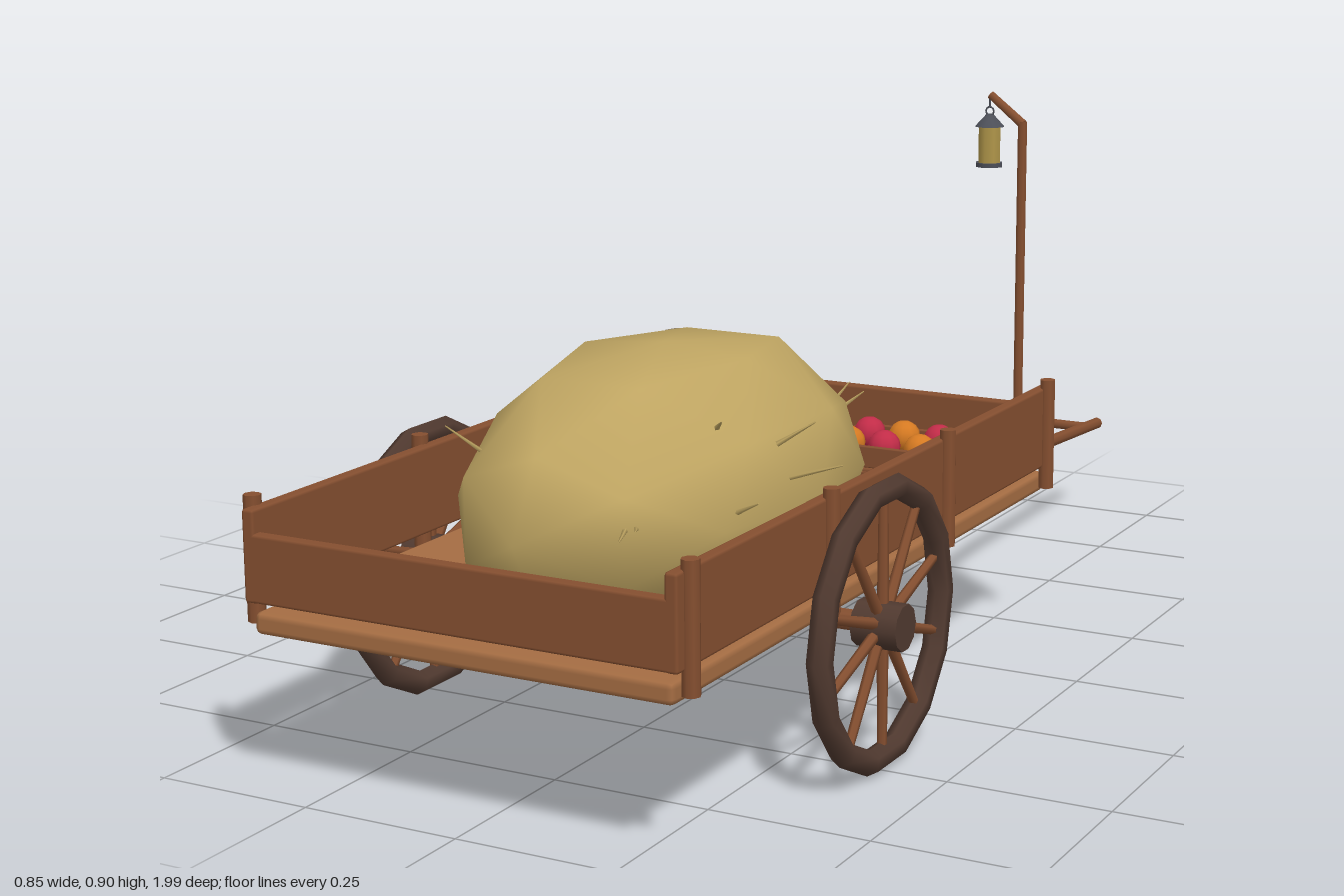
import * as THREE from 'three';
import { RoundedBoxGeometry } from 'three/addons/geometries/RoundedBoxGeometry.js';

const mat = (name, color) => {
  const m = new THREE.MeshStandardMaterial({ color });
  m.name = name;
  return m;
};

export function createModel() {
  const root = new THREE.Group();
  root.name = 'handcart';
  const plank = mat('light wood', 0xa56d43);
  const board = mat('brown wood', 0x854f30);
  const dark = mat('dark wood', 0x513a30);
  const straw = mat('hay', 0xbfa562);
  const cloth = mat('sackcloth', 0xbfac8a);
  const red = mat('red fruit', 0xc22c48);
  const orange = mat('orange fruit', 0xd67a22);
  const iron = mat('iron', 0x4c4f58);
  const glass = mat('lantern glass', 0xb0964a);
  cloth.side = THREE.DoubleSide;

  const add = (name, geo, material, pos = [0, 0, 0], parent = root) => {
    const mesh = new THREE.Mesh(geo, material);
    mesh.name = name;
    mesh.position.set(...pos);
    parent.add(mesh);
    return mesh;
  };
  // Tapered round bar between two points
  const rod = (name, a, b, r0, r1, material, parent = root, sides = 8) => {
    const p = new THREE.Vector3(...a), q = new THREE.Vector3(...b);
    const d = q.clone().sub(p);
    const mesh = add(name, new THREE.CylinderGeometry(r1, r0, d.length(), sides), material,
      p.clone().add(q).multiplyScalar(0.5).toArray(), parent);
    mesh.quaternion.setFromUnitVectors(new THREE.Vector3(0, 1, 0), d.normalize());
    return mesh;
  };
  const beam = (name, w, h, d, pos, material, parent = root, bevel = 0.005) =>
    add(name, new RoundedBoxGeometry(w, h, d, 1, bevel), material, pos, parent);

  // Bed with low walls and corner posts
  beam('floor', 0.67, 0.034, 1.245, [0, 0.26, 0.3675], plank, root, 0.01);
  beam('frontBoard', 0.67, 0.1, 0.02, [0, 0.34, 0.985], board);
  beam('backBoard', 0.67, 0.1, 0.02, [0, 0.34, -0.25], board);
  for (const s of [-1, 1]) {
    beam('sideBoard', 0.02, 0.135, 1.25, [s * 0.335, 0.357, 0.37], board);
    for (const z of [-0.23, 0.17, 0.565, 0.965])
      rod('post', [s * 0.348, 0.255, z], [s * 0.348, 0.438, z], 0.013, 0.013, board);
  }

  // Axle and spoked wheels
  const cy = 0.222, cz = 0.485;
  rod('axle', [-0.4, cy, cz], [0.4, cy, cz], 0.016, 0.016, board);
  for (const s of [-1, 1]) {
    const wheel = new THREE.Group();
    wheel.name = 'wheel';
    wheel.position.set(s * 0.39, cy, cz);
    root.add(wheel);
    add('rim', new THREE.TorusGeometry(0.2, 0.019, 6, 14), dark, [0, 0, 0], wheel).rotation.y = Math.PI / 2;
    rod('hub', [-0.036, 0, 0], [0.036, 0, 0], 0.035, 0.035, dark, wheel, 10);
    for (let i = 0; i < 10; i++) {
      const a = (i / 10) * Math.PI * 2;
      rod('spoke', [0, 0, 0], [0, Math.cos(a) * 0.195, Math.sin(a) * 0.195], 0.009, 0.007, board, wheel, 6);
    }
  }

  // Bent pulling shafts and grip
  for (const s of [-1, 1]) {
    const bends = [[s * 0.208, 0.245, -0.1], [s * 0.178, 0.229, -0.52], [s * 0.146, 0.184, -0.99]];
    rod('shaft', bends[0], bends[1], 0.012, 0.012, board);
    rod('shaft', bends[1], bends[2], 0.012, 0.011, board);
  }
  rod('grip', [-0.15, 0.191, -0.92], [0.15, 0.191, -0.92], 0.009, 0.009, board);

  // Hay mound with loose straws
  const hay = new THREE.IcosahedronGeometry(1, 1);
  const hp = hay.attributes.position;
  for (let i = 0; i < hp.count; i++) {
    const y = hp.getY(i);
    if (y > 0.8 && y < 0.95) hp.setY(i, y * 1.1);
  }
  hay.scale(0.255, 0.205, 0.407);
  hay.computeVertexNormals();
  // Smooth the mound's normals like an ellipsoid
  const hn = hay.attributes.normal, n = new THREE.Vector3();
  for (let i = 0; i < hp.count; i++) {
    n.set(hp.getX(i) / 0.065, hp.getY(i) / 0.042, hp.getZ(i) / 0.166).normalize();
    hn.setXYZ(i, n.x, n.y, n.z);
  }
  add('hayMound', hay, straw, [0.065, 0.41, 0.538]);
  const straws = [
    [[0.06, 0.42, 0.15], [0.055, 0.45, 0.08]], [[0.16, 0.46, 0.2], [0.17, 0.49, 0.15]],
    [[0.18, 0.46, 0.2], [0.2, 0.48, 0.16]], [[0.28, 0.5, 0.6], [0.33, 0.533, 0.58]],
    [[0.3, 0.455, 0.6], [0.375, 0.477, 0.585]], [[0.28, 0.43, 0.72], [0.32, 0.45, 0.73]],
    [[-0.07, 0.49, 0.8], [-0.095, 0.54, 0.86]], [[0.2, 0.43, 0.85], [0.235, 0.445, 0.91]],
    [[0.19, 0.43, 0.86], [0.215, 0.43, 0.92]], [[0.24, 0.54, 0.7], [0.27, 0.56, 0.74]],
  ];
  for (const [a, b] of straws) rod('looseStraw', a, b, 0.004, 0.001, straw, root, 4);

  // Tied sacks
  const profile = [[0, 0], [0.08, 0], [0.097, 0.05], [0.1, 0.1], [0.085, 0.16], [0.05, 0.2],
    [0.022, 0.218], [0.031, 0.245], [0, 0.248]].map(([r, y]) => new THREE.Vector2(r, y));
  for (const [x, z, k] of [[-0.183, 0.055, 1], [-0.165, 0.245, 0.95]]) {
    const sack = new THREE.Group();
    sack.name = 'sack';
    sack.position.set(x, 0.276, z);
    sack.scale.setScalar(k);
    root.add(sack);
    add('sackBody', new THREE.LatheGeometry(profile, 8), cloth, [0, 0, 0], sack);
    add('sackTie', new THREE.TorusGeometry(0.023, 0.005, 5, 10), board, [0, 0.218, 0], sack).rotation.x = Math.PI / 2;
  }

  // Crate of fruit
  const crate = new THREE.Group();
  crate.name = 'crate';
  crate.position.set(0.157, 0.277, -0.043);
  root.add(crate);
  beam('crateBase', 0.19, 0.045, 0.15, [0, 0.023, 0], board, crate);
  for (const s of [-1, 1]) {
    for (const y of [0.022, 0.064]) {
      beam('crateSlat', 0.195, 0.035, 0.01, [0, y, s * 0.072], board, crate, 0.002);
      beam('crateSlat', 0.01, 0.035, 0.15, [s * 0.093, y, 0], board, crate, 0.002);
    }
  }
  for (let i = 0; i < 6; i++) {
    const col = i % 3, row = Math.floor(i / 3);
    add('fruit', new THREE.SphereGeometry(0.027, 10, 8), (col + row) % 2 ? orange : red,
      [(col - 1) * 0.063, 0.075, (row - 0.5) * 0.076], crate);
  }

  // Lamp post with hanging lantern
  rod('lampPost', [0.295, 0.25, -0.23], [0.295, 0.862, -0.23], 0.008, 0.008, board);
  rod('lampArm', [0.295, 0.858, -0.23], [0.238, 0.903, -0.23], 0.008, 0.007, board);
  const lantern = new THREE.Group();
  lantern.name = 'lantern';
  lantern.position.set(0.237, 0.785, -0.23);
  root.add(lantern);
  add('lanternBase', new THREE.CylinderGeometry(0.023, 0.023, 0.007, 8), iron, [0, 0.0035, 0], lantern);
  add('lanternGlass', new THREE.CylinderGeometry(0.019, 0.019, 0.06, 8), glass, [0, 0.037, 0], lantern);
  add('lanternRoof', new THREE.CylinderGeometry(0.006, 0.025, 0.02, 8), iron, [0, 0.076, 0], lantern);
  add('lanternRing', new THREE.TorusGeometry(0.007, 0.0015, 5, 10), iron, [0, 0.091, 0], lantern);
  rod('lanternHook', [0, 0.097, 0], [0, 0.115, 0], 0.0015, 0.0015, iron, lantern, 5);

  return root;
}
